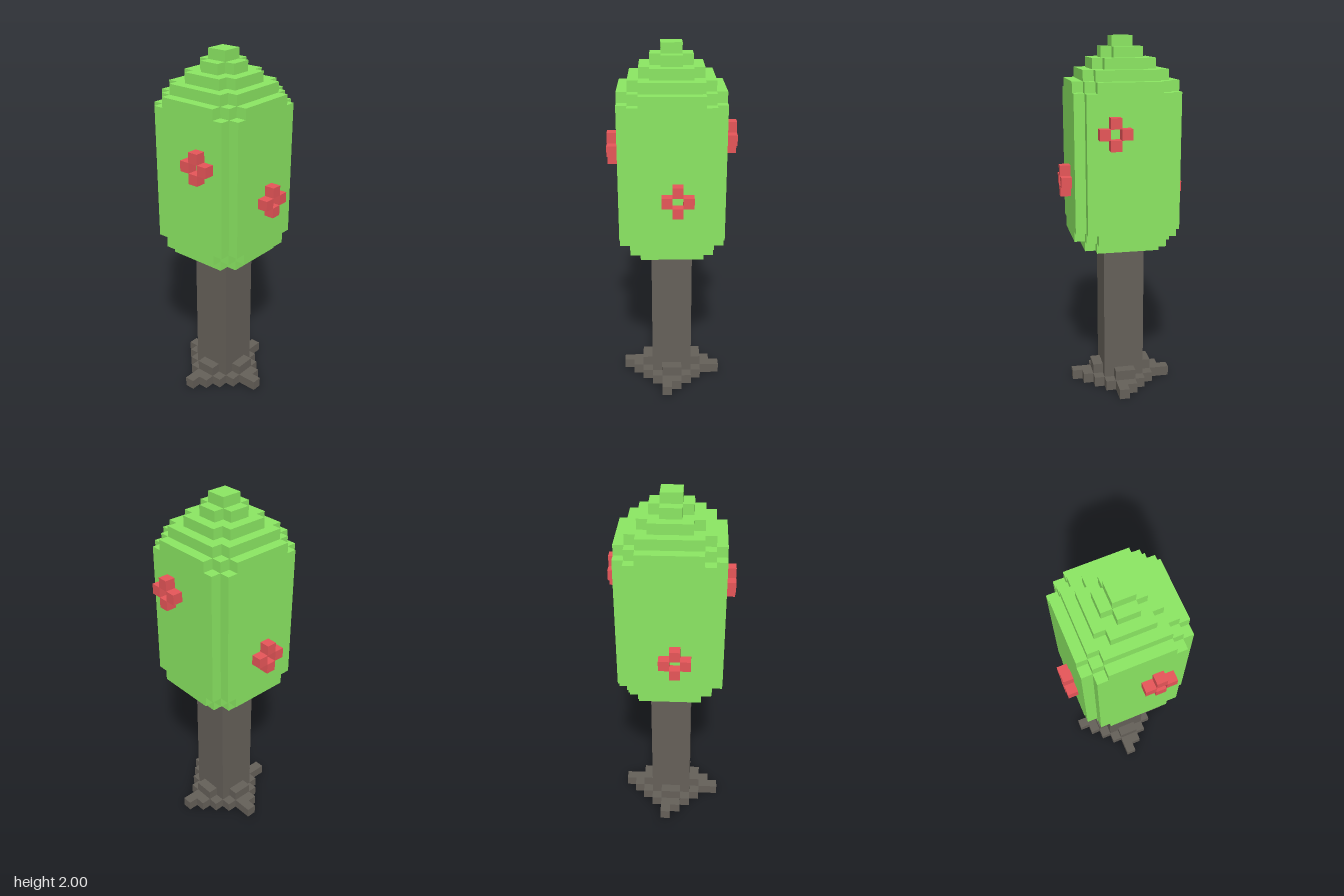
import * as THREE from 'three';

const U = 2 / 35; // one block

const leafGreen = new THREE.MeshStandardMaterial({ color: 0x8dea64 });
const barkBrown = new THREE.MeshStandardMaterial({ color: 0x656059 });
const blossomRed = new THREE.MeshStandardMaterial({ color: 0xea575a });
leafGreen.name = 'leafGreen';
barkBrown.name = 'barkBrown';
blossomRed.name = 'blossomRed';

// Flat slab from y0 to y1; a quarter of its stepped outline is turned four times
function slab(name, quarter, y0, y1, material) {
  const points = [];
  let turn = quarter;
  for (let k = 0; k < 4; k++) {
    points.push(...turn.map(([x, y]) => new THREE.Vector2(x * U, y * U)));
    turn = turn.map(([x, y]) => [-y, x]);
  }
  const geometry = new THREE.ExtrudeGeometry(new THREE.Shape(points), { depth: (y1 - y0) * U, bevelEnabled: false });
  geometry.rotateX(-Math.PI / 2).translate(0, y0 * U, 0);
  const mesh = new THREE.Mesh(geometry, material);
  mesh.name = name;
  return mesh;
}

// Quarter outline of a square of half width n with one block cut from each corner
const notched = (n) => [[n, 1 - n], [n, n - 1], [n - 1, n - 1]];

// Four blocks around an open centre, on the face pointing along +z before turning
function blossom(name, across, height, angle) {
  const group = new THREE.Group();
  group.name = name;
  for (const [dx, dy] of [[1, 0], [-1, 0], [0, 1], [0, -1]]) {
    const petal = new THREE.Mesh(new THREE.BoxGeometry(U, U, U), blossomRed);
    petal.name = 'petal';
    petal.position.set((across + dx) * U, (height + dy) * U, 5.5 * U);
    group.add(petal);
  }
  group.rotation.y = angle;
  return group;
}

export function createModel() {
  const tree = new THREE.Group();
  tree.name = 'tree';

  // Roots: stepped diamond with four offset tips, then a smaller cross
  const rootOutline = [[5, -1], [5, 0], [4, 0], [4, 1], [3, 1], [3, 2], [2, 2], [2, 3], [1, 3], [1, 4]];
  tree.add(slab('rootBase', rootOutline, 0, 1, barkBrown));
  tree.add(slab('rootCollar', [[3, -1], [3, 1], [2, 1], [2, 2], [1, 2]], 1, 2, barkBrown));
  tree.add(slab('trunk', [[2, 2]], 2, 15, barkBrown));

  // Crown: tall body with stepped edges
  const rim = [[5, -3], [5, 3], [4, 3], [4, 4], [3, 4]];
  tree.add(slab('crownUnderside', notched(4), 15, 16, leafGreen));
  tree.add(slab('crownLowerRim', rim, 16, 17, leafGreen));
  tree.add(slab('crownBody', notched(5), 17, 30, leafGreen));
  tree.add(slab('crownUpperRim', rim, 30, 31, leafGreen));

  // Stepped peak
  for (let n = 4; n >= 2; n--) tree.add(slab('crownStep', notched(n), 35 - n, 36 - n, leafGreen));
  tree.add(slab('crownTip', [[1, 1]], 34, 35, leafGreen));

  // One blossom on each side
  tree.add(blossom('frontBlossom', 1.5, 25.5, 0));
  tree.add(blossom('leftBlossom', 0.5, 21.5, Math.PI / 2));
  tree.add(blossom('backBlossom', -1.5, 26.5, Math.PI));
  tree.add(blossom('rightBlossom', 0.5, 20.5, -Math.PI / 2));

  return tree;
}
